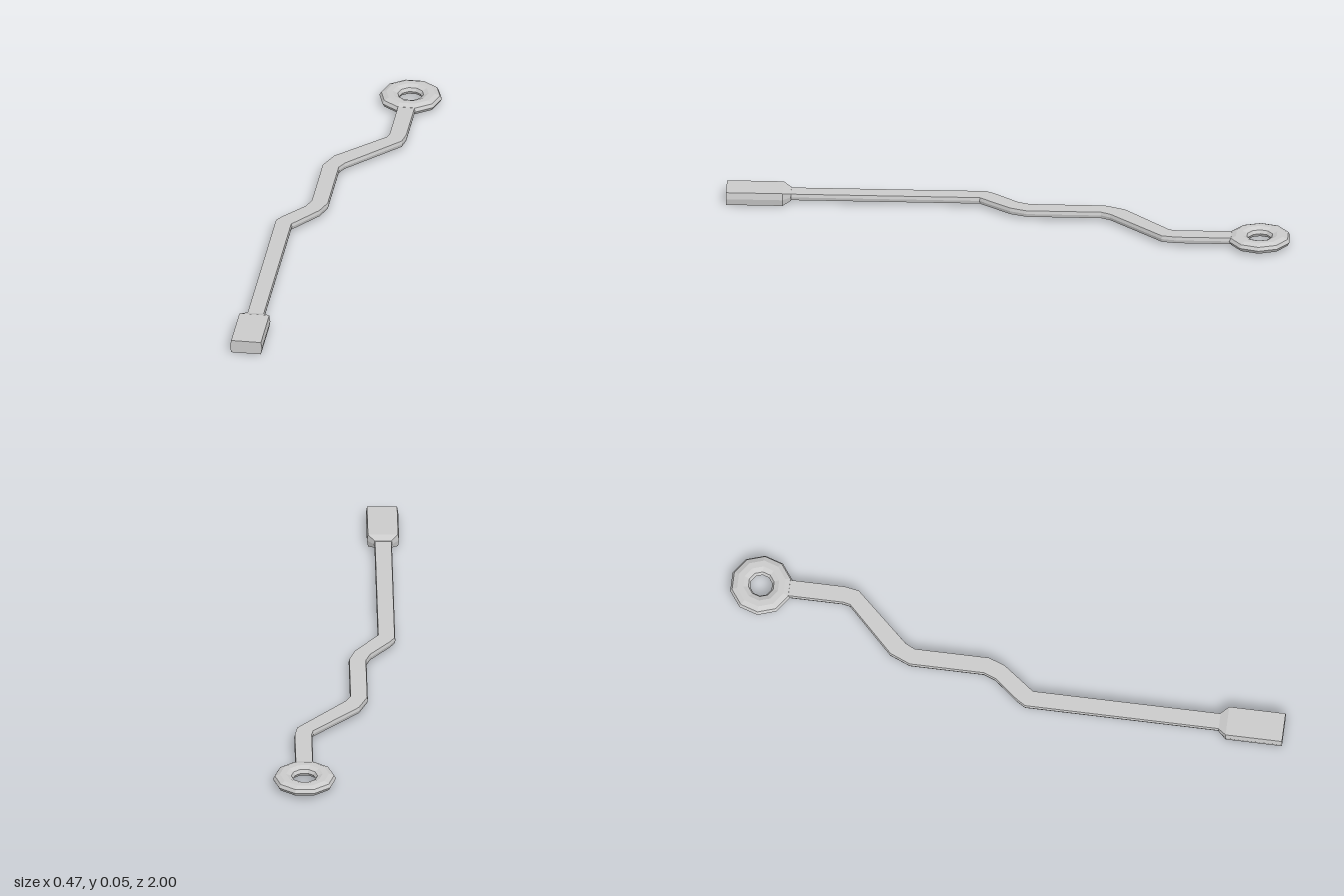
import * as THREE from 'three';

const MID = 0.0235; // height of the centre plane
const material = new THREE.MeshStandardMaterial({ color: 0xcccccc, flatShading: true });

// Flat hexagonal bar lofted through stations, front to back:
// [left x, left z, right x, right z, half height]
function loft(name, stations, bulge) {
  const pos = [], index = [];
  const rim = [[0, 0], [bulge, 1], [1 - bulge, 1], [1, 0], [1 - bulge, -1], [bulge, -1]];
  for (const [lx, lz, rx, rz, h] of stations)
    for (const [t, s] of rim) pos.push(lx + (rx - lx) * t, MID + s * h, lz + (rz - lz) * t);
  for (let i = 0; i < stations.length - 1; i++)
    for (let j = 0; j < 6; j++) {
      const a = i * 6 + j, b = i * 6 + (j + 1) % 6;
      index.push(a, b, b + 6, a, b + 6, a + 6);
    }
  const last = (stations.length - 1) * 6;
  for (let j = 1; j < 5; j++) index.push(0, j + 1, j, last, last + j, last + j + 1);
  const geo = new THREE.BufferGeometry();
  geo.setAttribute('position', new THREE.Float32BufferAttribute(pos, 3));
  geo.setIndex(index);
  const flat = geo.toNonIndexed();
  flat.computeVertexNormals();
  const mesh = new THREE.Mesh(flat, material);
  mesh.name = name;
  return mesh;
}

export function createModel() {
  const group = new THREE.Group();
  group.name = 'crankedRod';

  // Rod with two sideways bends
  const h = 0.0115;
  group.add(loft('rod', [
    [-0.212, 0.79, -0.150, 0.79, h],
    [-0.212, 0.084, -0.150, 0.106, h],
    [-0.193, 0.053, -0.137, 0.090, h],
    [-0.124, -0.032, -0.066, -0.005, h],
    [-0.108, -0.074, -0.045, -0.063, h],
    [-0.108, -0.338, -0.045, -0.327, h],
    [-0.077, -0.412, -0.029, -0.359, h],
    [0.087, -0.575, 0.147, -0.549, h],
    [0.092, -0.600, 0.156, -0.600, h],
    [0.092, -0.825, 0.156, -0.825, h],
  ], 0.04));

  // Thick end block, tapering into the rod
  group.add(loft('endBlock', [
    [-0.238, 1, -0.124, 1, 0.0235],
    [-0.238, 0.80, -0.124, 0.80, 0.0235],
    [-0.213, 0.772, -0.149, 0.772, 0.0135],
  ], 0.035));

  // Faceted eye at the far end, slightly flattened
  const ring = new THREE.TorusGeometry(0.0755, 0.036, 10, 10);
  ring.scale(1, 1, 0.57);
  ring.rotateX(Math.PI / 2);
  const eye = new THREE.Mesh(ring, material);
  eye.name = 'eyeRing';
  eye.position.set(0.125, MID, -0.894);
  group.add(eye);

  return group;
}
